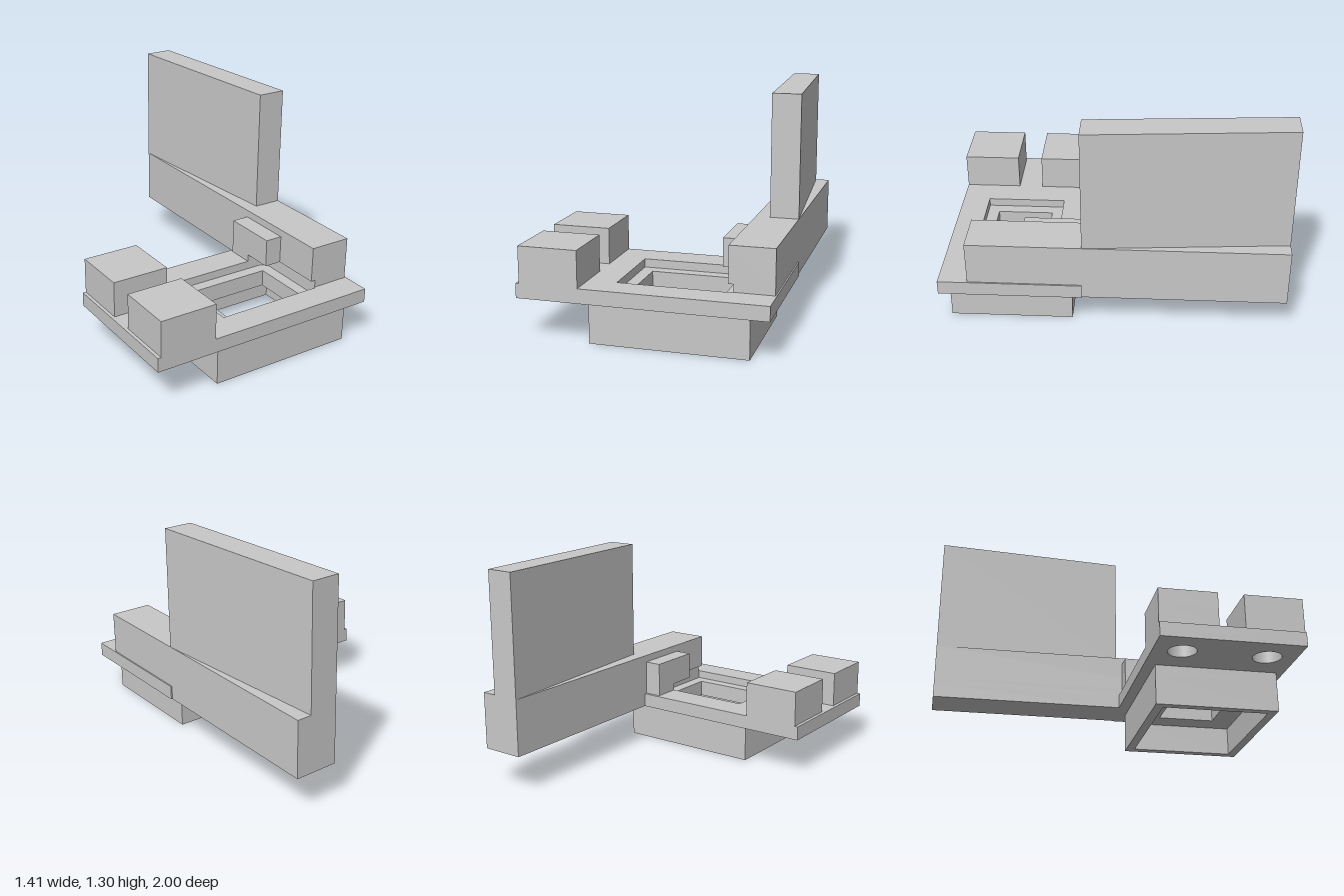
import * as THREE from 'three';
import { toCreasedNormals } from 'three/addons/utils/BufferGeometryUtils.js';

const grey = new THREE.MeshStandardMaterial({ color: 0xc8c8c8 });
grey.name = 'plain grey';

// Outlines are given in plan as [x, z]
const rect = (x0, x1, z0, z1) => [[x0, z0], [x1, z0], [x1, z1], [x0, z1]];

function arc(cx, cz, r, a0, a1, steps) {
  const points = [];
  for (let i = 0; i <= steps; i++) {
    const a = a0 + (a1 - a0) * i / steps;
    points.push([cx + r * Math.cos(a), cz + r * Math.sin(a)]);
  }
  return points;
}

const circle = (cx, cz, r) => arc(cx, cz, r, 0, Math.PI * 2, 32).slice(0, -1);

// Upright slab from y0 to y1 over a plan outline, with optional holes
function slab(name, y0, y1, outline, holes = []) {
  // Reversed so that outlines run anticlockwise and hole walls face inwards
  const toVectors = (pts) => pts.map(([x, z]) => new THREE.Vector2(x, -z)).reverse();
  const shape = new THREE.Shape(toVectors(outline));
  holes.forEach((h) => shape.holes.push(new THREE.Path(toVectors(h))));
  const geometry = new THREE.ExtrudeGeometry(shape, { depth: y1 - y0, bevelEnabled: false });
  geometry.rotateX(-Math.PI / 2);
  geometry.translate(0, y0, 0);
  const mesh = new THREE.Mesh(toCreasedNormals(geometry, 0.5), grey);
  mesh.name = name;
  return mesh;
}

export function createModel() {
  const model = new THREE.Group();
  model.name = 'bracket';
  const add = (...args) => model.add(slab(...args));

  const window_ = rect(-0.11, 0.40, 0.423, 0.764);
  const screwHoles = [circle(-0.515, 0.34, 0.083), circle(-0.515, 0.83, 0.083)];
  // Recess with one rounded corner, which the bar's inner face divides in two
  const split = -1.115;
  const cornerBack = arc(0.42, 0.402, 0.05, -Math.PI / 2, split, 4);
  const cornerSide = arc(0.42, 0.402, 0.05, split, 0, 6);
  const recess = [[-0.18, 0.352], ...cornerBack, ...cornerSide.slice(1), [0.47, 0.834], [-0.18, 0.834]];

  // Hollow socket under the plate
  const socket = rect(-0.30, 0.592, 0.236, 0.956);
  add('socketWalls', 0, 0.17, socket, [rect(-0.25, 0.54, 0.288, 0.905)]);
  add('socketCeiling', 0.17, 0.236, socket, [window_]);

  // Plate with window, stepped recess and screw holes
  const plate = rect(-0.705, 0.705, 0.17, 1);
  add('plateLower', 0.236, 0.27, plate, [window_, ...screwHoles]);
  add('plateUpper', 0.27, 0.32, plate, [recess, ...screwHoles]);

  // Two corner blocks with blind holes from below
  [[0.17, 0.51], [0.66, 1]].forEach(([z0, z1], i) => {
    const block = rect(-0.685, -0.345, z0, z1);
    add('cornerBlockLower', 0.32, 0.45, block, [screwHoles[i]]);
    add('cornerBlockTop', 0.45, 0.532, block);
  });

  // Small block overhanging the recess
  add('smallBlockFoot', 0.32, 0.364, [[0.337, 0.19], [0.442, 0.19], ...cornerBack.slice().reverse(), [0.337, 0.352]]);
  add('smallBlock', 0.364, 0.532, rect(0.337, 0.442, 0.19, 0.53));

  // Long side bar, notched by the recess
  add('barLower', 0.236, 0.32, rect(0.442, 0.697, -1, 0.17));
  add('barNotched', 0.32, 0.364, [[0.442, -1], [0.697, -1], [0.697, 0.827], [0.47, 0.827], ...cornerSide.slice().reverse()]);
  add('barUpper', 0.364, 0.576, rect(0.442, 0.697, -1, 0.827));

  // Tall wall, slightly skewed along the bar
  add('tallWall', 0.576, 1.30, [[0.442, -1], [0.61, -1], [0.697, 0.167], [0.527, 0.167]]);

  return model;
}
